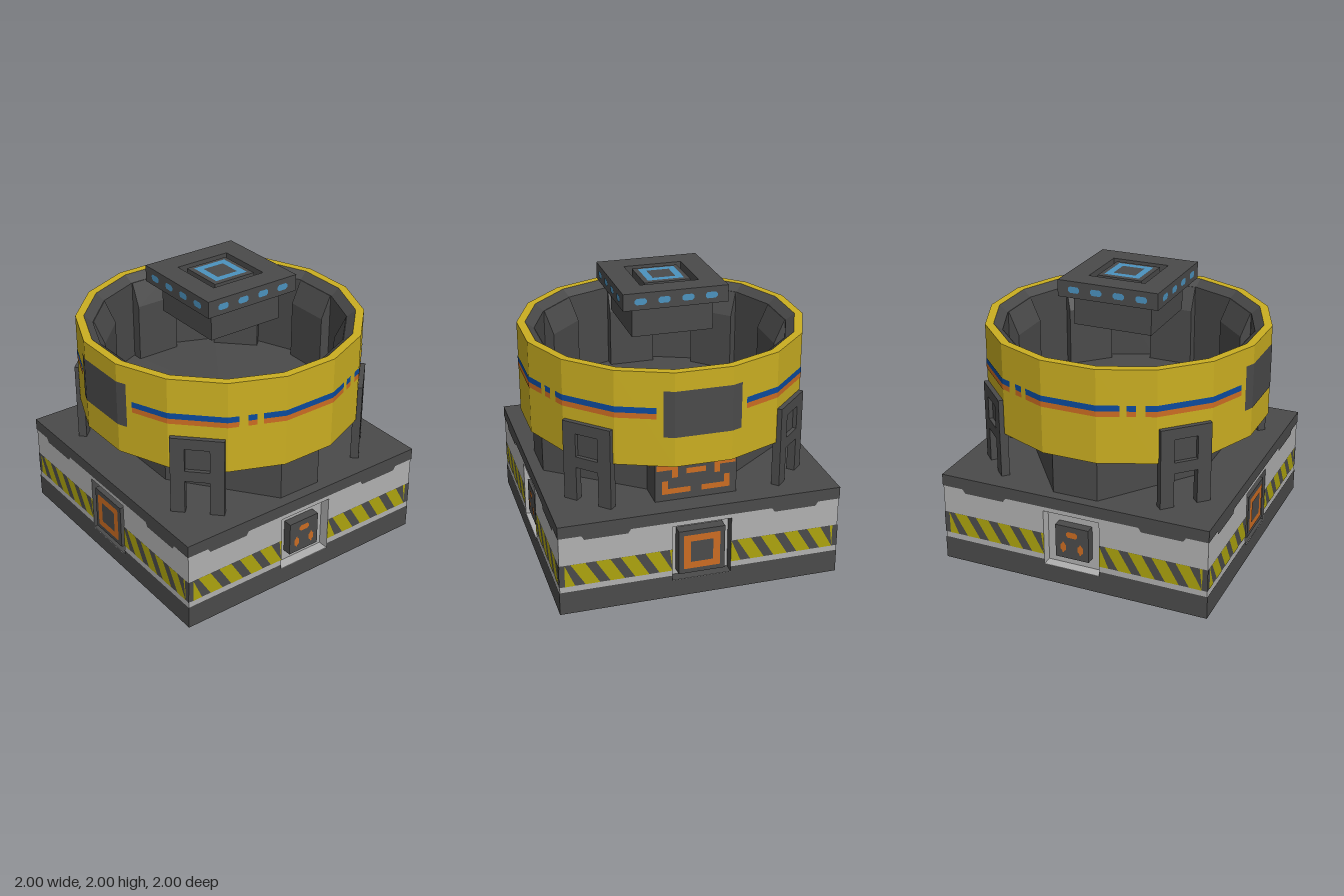
import * as THREE from 'three';

const mat = (name, color, double) => {
  const m = new THREE.MeshStandardMaterial({ color });
  m.name = name;
  if (double) m.side = THREE.DoubleSide;
  return m;
};

export function createModel() {
  const dark = mat('darkMetal', 0x4a4a4a);
  const grey = mat('lightPanel', 0xb0b0b0);
  const yellow = mat('yellowPaint', 0xcaae21);
  const hazard = mat('hazardYellow', 0xaca30e);
  const blue = mat('blueStripe', 0x0b4a9c);
  const orange = mat('orangeGlow', 0xcb6c22);
  const cyan = mat('lightBlueGlow', 0x4b92be);

  const model = new THREE.Group();
  const add = (parent, name, geo, material, x = 0, y = 0, z = 0) => {
    const m = new THREE.Mesh(geo, material);
    m.name = name;
    m.position.set(x, y, z);
    parent.add(m);
    return m;
  };
  const group = (name, angle = 0) => {
    const g = new THREE.Group();
    g.name = name;
    g.rotation.y = angle;
    model.add(g);
    return g;
  };
  const box = (w, h, d) => new THREE.BoxGeometry(w, h, d);
  const poly = (pts) => new THREE.Shape(pts.map(([x, y]) => new THREE.Vector2(x, y)));
  const rect = (x0, y0, x1, y1) => poly([[x0, y0], [x1, y0], [x1, y1], [x0, y1]]);
  const frame = (outer, inner) => {
    const s = rect(-outer, -outer, outer, outer);
    s.holes.push(rect(-inner, -inner, inner, inner));
    return s;
  };
  const flat = (shape) => new THREE.ShapeGeometry(shape);
  const extrude = (shape, depth) => new THREE.ExtrudeGeometry(shape, { depth, bevelEnabled: false });
  const pill = (w, h) => {
    const c = h * 0.3, x = w / 2, y = h / 2;
    return flat(poly([[-x + c, -y], [x - c, -y], [x, -y + c], [x, y - c], [x - c, y], [-x + c, y], [-x, y - c], [-x, -y + c]]));
  };

  // Base block: core, floor and deck
  const base = group('base');
  add(base, 'baseCore', box(1.84, 0.65, 1.84), grey, 0, 0.335, 0);
  add(base, 'baseFloor', box(2, 0.02, 2), dark, 0, 0.01, 0);
  add(base, 'baseDeck', box(2, 0.02, 2), dark, 0, 0.66, 0);
  const plug = add(base, 'bottomPlug', new THREE.CircleGeometry(0.05, 12), grey, 0, -0.001, 0);
  plug.rotation.x = Math.PI / 2;

  // Four sides, each with a recessed panel and painted bands
  ['front', 'right', 'back', 'left'].forEach((label, k) => {
    const side = group(label + 'Side', k * Math.PI / 2);
    const isFront = k % 2 === 0;
    const half = isFront ? 0.92 : 0.996;
    const wall = rect(-half, 0.01, half, 0.66);
    wall.holes.push(rect(-0.21, 0.13, 0.21, 0.55));
    add(side, 'wall', extrude(wall, 0.076), [grey, isFront ? dark : grey], 0, 0, 0.92);

    add(side, 'lowerBand', flat(poly([[-1, 0], [1, 0], [1, 0.17], [0.21, 0.17], [0.21, 0.13],
      [-0.21, 0.13], [-0.21, 0.17], [-1, 0.17]])), dark, 0, 0, 1);
    add(side, 'upperBand', flat(poly([[-1, 0.67], [-1, 0.583], [-0.84, 0.583], [-0.82, 0.553],
      [-0.52, 0.553], [-0.5, 0.583], [0.5, 0.583], [0.52, 0.553], [0.82, 0.553], [0.84, 0.583],
      [1, 0.583], [1, 0.67]])), dark, 0, 0, 1);

    // Hazard stripes
    for (const [x0, x1] of [[-0.96, -0.21], [0.21, 0.96]]) {
      add(side, 'hazardBand', flat(rect(x0 < 0 ? -1 : x0, 0.21, x0 < 0 ? x1 : 1, 0.375)), dark, 0, 0, 0.9975);
      const clip = (x) => Math.min(x1, Math.max(x0, x));
      for (let i = 0; i < 6; i++) {
        const a = x0 - 0.03 + i * 0.172, b = a + 0.1;
        if (clip(b) - clip(a - 0.1) < 0.02) continue;
        add(side, 'hazardStripe', flat(poly([[clip(a), 0.21], [clip(b), 0.21], [clip(b - 0.1), 0.375],
          [clip(a - 0.1), 0.375]])), hazard, 0, 0, 0.999);
      }
    }

    // Panel block inside the recess
    if (isFront) {
      add(side, 'panelBlock', box(0.33, 0.33, 0.08), dark, 0, 0.335, 0.955);
      add(side, 'panelFrame', flat(frame(0.13, 0.08)), orange, 0, 0.335, 0.998);
    } else {
      add(side, 'panelBlock', box(0.25, 0.25, 0.07), dark, 0, 0.335, 0.95);
      add(side, 'panelTopLight', pill(0.085, 0.045), orange, 0, 0.398, 0.988);
      for (const s of [-1, 1]) add(side, 'panelSideLight', pill(0.042, 0.09), orange, s * 0.065, 0.295, 0.988);
    }
  });

  // Elongated eight-sided drum between base and ring
  const drumShape = poly([[-0.26, -0.67], [0.26, -0.67], [0.92, -0.165], [0.92, 0.165],
    [0.26, 0.67], [-0.26, 0.67], [-0.92, 0.165], [-0.92, -0.165]]);
  const drum = add(model, 'drum', extrude(drumShape, 0.335), dark, 0, 0.667, 0);
  drum.rotation.x = -Math.PI / 2;
  drum.position.y = 0.667;

  // Glowing machine box at the rear
  const rear = group('rearBox', Math.PI);
  add(rear, 'rearBoxBody', box(0.58, 0.335, 0.3), dark, 0, 0.835, 0.695);
  for (const s of [-1, 1]) {
    const mark = (x0, y0, x1, y1) => add(rear, 'rearBoxMark',
      flat(rect(Math.min(s * x0, s * x1), y0, Math.max(s * x0, s * x1), y1)), orange, 0, 0, 0.848);
    mark(0.13, 0.9, 0.28, 0.94);
    mark(0.13, 0.84, 0.17, 0.9);
    mark(0.2, 0.72, 0.24, 0.82);
    mark(0.04, 0.72, 0.2, 0.76);
    mark(0, 0.86, 0.07, 0.9);
    const sideMark = add(rear, 'rearBoxSideMark', flat(rect(-0.015, -0.02, 0.015, 0.02)), orange, s * 0.293, 0.9, 0.725);
    sideMark.rotation.y = s * Math.PI / 2;
  }

  // Sixteen-sided ring with a dark bowl inside
  const step = Math.PI / 8;
  const lathe = (pts) => {
    const k = 1 / Math.cos(step / 2);
    const g = new THREE.LatheGeometry(pts.map(([r, y]) => new THREE.Vector2(r * k, y)), 16, step / 2).toNonIndexed();
    g.computeVertexNormals();
    return g;
  };
  const ring = group('ring');
  add(ring, 'ringShell', lathe([[0.05, 1], [0.998, 1], [0.998, 1.67], [0.94, 1.67]]), yellow);
  add(ring, 'ringBowl', lathe([[0.94, 1.67], [0.88, 1.62], [0.88, 1.01], [0.001, 1.03]]), dark);
  const rib = extrude(poly([[0.8, 1.01], [0.89, 1.01], [0.89, 1.62], [0.875, 1.62], [0.8, 1.45]]), 0.34);
  rib.translate(0, 0, -0.17);
  for (let i = 0; i < 8; i++) add(ring, 'innerRib', rib, dark).rotation.y = i * Math.PI / 4;

  // Thin strip that follows the ring's flat faces between two angles (degrees)
  const strip = (from, to, y0, y1, apothem) => {
    const a0 = THREE.MathUtils.degToRad(from), a1 = THREE.MathUtils.degToRad(to);
    const angles = [a0];
    for (let i = -1; i < 17; i++) {
      const c = (i + 0.5) * step;
      if (c > a0 + 1e-4 && c < a1 - 1e-4) angles.push(c);
    }
    angles.push(a1);
    const pos = [], index = [];
    angles.forEach((a, i) => {
      const r = apothem / Math.cos(a - Math.round(a / step) * step);
      pos.push(r * Math.sin(a), y0, r * Math.cos(a), r * Math.sin(a), y1, r * Math.cos(a));
      if (i) index.push(2 * i - 2, 2 * i, 2 * i - 1, 2 * i, 2 * i + 1, 2 * i - 1);
    });
    let g = new THREE.BufferGeometry();
    g.setAttribute('position', new THREE.Float32BufferAttribute(pos, 3));
    g.setIndex(index);
    g = g.toNonIndexed();
    g.computeVertexNormals();
    return g;
  };
  for (const turn of [0, 180]) {
    add(ring, 'ringPlate', strip(turn - 15.5, turn + 15.5, 1.213, 1.54, 1.001), dark);
    for (const [a, b] of [[18, 60.5], [64, 67.5], [70, 110], [112.5, 116], [119.5, 162]]) {
      add(ring, 'blueStripe', strip(turn + a, turn + b, 1.378, 1.42, 1.001), blue);
      add(ring, 'orangeStripe', strip(turn + a, turn + b, 1.34, 1.378, 1.001), orange);
    }
  }

  // Four diagonal support legs
  const legShape = poly([[-0.184, 0.667], [-0.085, 0.667], [-0.085, 0.92], [0.085, 0.92],
    [0.085, 0.667], [0.184, 0.667], [0.184, 1.25], [-0.184, 1.25]]);
  legShape.holes.push(rect(-0.085, 1.0, 0.085, 1.17));
  const legGeo = extrude(legShape, 0.06);
  for (let i = 0; i < 4; i++) {
    const leg = group('supportLeg', Math.PI / 4 + i * Math.PI / 2);
    add(leg, 'legFrame', legGeo, dark, 0, 0, 0.972);
    add(leg, 'legWindow', flat(rect(-0.09, 1, 0.09, 1.175)), dark, 0, 0, 1.003);
  }

  // Central head: neck, cap, recessed top emblem frame and side lights
  const head = group('head');
  add(head, 'neck', box(0.58, 0.24, 0.58), dark, 0, 1.78, 0);
  const capShape = frame(0.372, 0.21);
  const cap = add(head, 'cap', extrude(capShape, 0.12), dark, 0, 1.88, 0);
  cap.rotation.x = -Math.PI / 2;
  add(head, 'capRecess', box(0.42, 0.04, 0.42), grey, 0, 1.91, 0);
  add(head, 'capCore', box(0.33, 0.08, 0.33), dark, 0, 1.955, 0);
  const glow = add(head, 'capGlow', flat(frame(0.13, 0.082)), cyan, 0, 1.998, 0);
  glow.rotation.x = -Math.PI / 2;
  for (let k = 0; k < 4; k++) {
    const row = group('capLights', k * Math.PI / 2);
    for (let i = 0; i < 4; i++) add(row, 'capLight', pill(0.085, 0.045), cyan, (i - 1.5) * 0.167, 1.94, 0.375);
  }

  return model;
}
